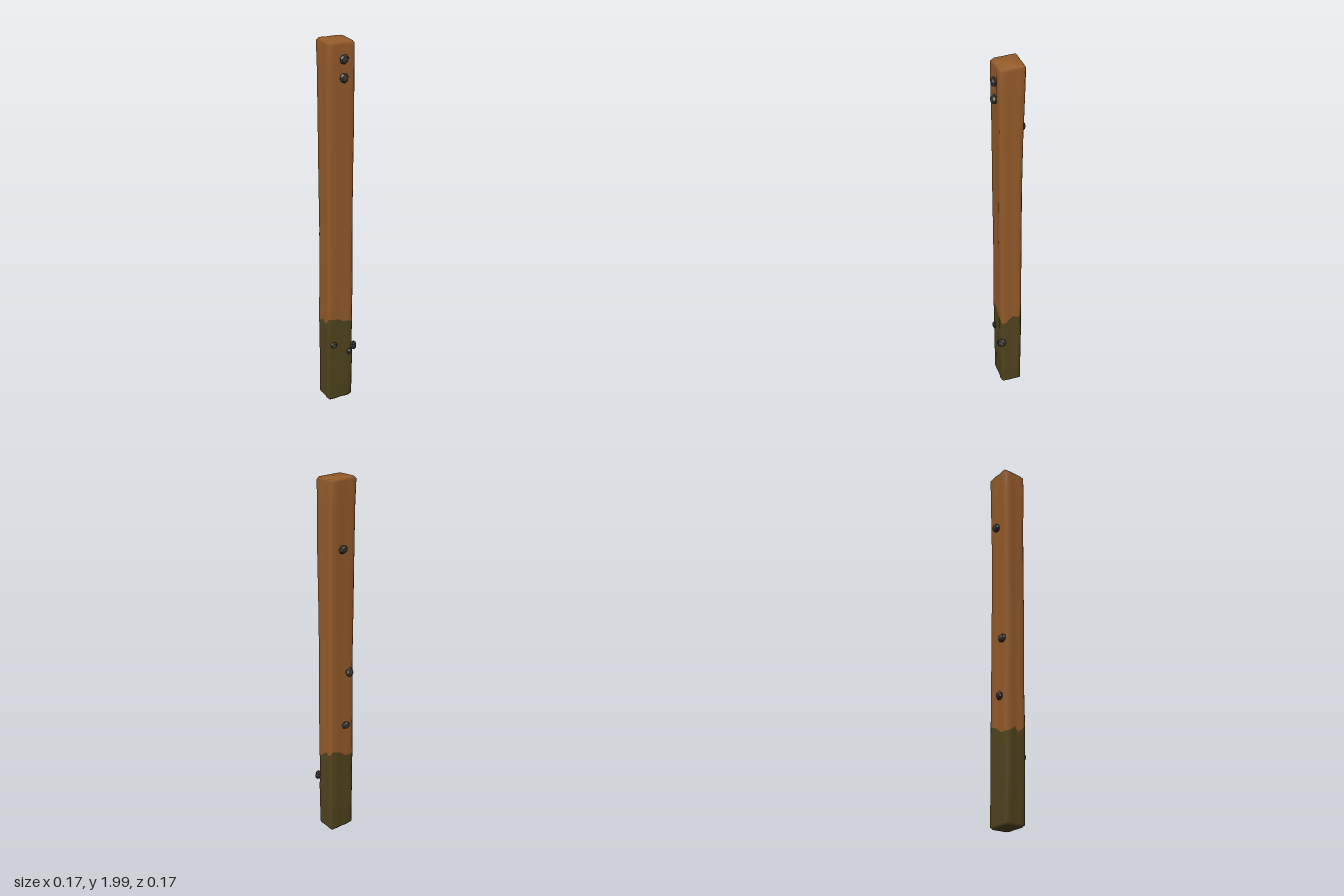
import * as THREE from 'three';

const wood = new THREE.MeshStandardMaterial({ name: 'wood', color: 0x965c2b });
const moss = new THREE.MeshStandardMaterial({ name: 'mossy wood', color: 0x52451e });
const iron = new THREE.MeshStandardMaterial({ name: 'dark iron', color: 0x3f3835 });

// One side of the squared section (along, outward); turned four times for the ring
const SIDE = [[-0.87, 0.98], [-0.5, 1], [-0.15, 0.98], [0.2, 0.96], [0.55, 1], [0.88, 0.97]];
const N = SIDE.length * 4;

// Rows up the post: y, xMin, xMax, zMin, zMax
const ROWS = [
  [0.01, -0.072, 0.052, -0.045, 0.047],
  [0.022, -0.083, 0.062, -0.055, 0.058],
  [0.25, -0.085, 0.062, -0.056, 0.062],
  [0.38, -0.085, 0.062, -0.056, 0.062],
  [0.49, -0.085, 0.062, -0.056, 0.062], // top of the mossy part
  [0.7, -0.084, 0.062, -0.056, 0.062],
  [1.0, -0.083, 0.062, -0.054, 0.062],
  [1.3, -0.083, 0.062, -0.055, 0.063],
  [1.6, -0.085, 0.064, -0.058, 0.064],
  [1.85, -0.085, 0.065, -0.063, 0.066],
  [1.978, -0.084, 0.065, -0.068, 0.066],
  [1.99, -0.076, 0.057, -0.06, 0.057],
];
const MOSS_ROW = 4;
// Ragged moss edge around the ring: front, +x side, back, -x side
const MOSS_EDGE = [
  0.52, 0.51, 0.51, 0.49, 0.49, 0.48, 0.46, 0.465, 0.485, 0.5, 0.49, 0.5,
  0.52, 0.51, 0.5, 0.475, 0.47, 0.47, 0.47, 0.48, 0.5, 0.475, 0.49, 0.515,
];

function ringPoint(row, i) {
  const [y, x0, x1, z0, z1] = ROWS[row];
  const turn = Math.floor(i / SIDE.length);
  let [u, v] = SIDE[i % SIDE.length];
  for (let t = 0; t < turn; t++) [u, v] = [v, -u];
  // gentle hewn unevenness, plus a groove low on the front
  let k = 1 + 0.015 * Math.sin(row * 2.1 + i * 1.7);
  if (i === 1 && (row === 2 || row === 3)) k = 0.93;
  const height = row === MOSS_ROW ? MOSS_EDGE[i] : y;
  const x = (x0 + x1) / 2 + (u * k * (x1 - x0)) / 2;
  const z = (z0 + z1) / 2 + (v * k * (z1 - z0)) / 2;
  return [x, height + (row > 9 ? -0.06 * z : 0), z];
}

function postGeometry() {
  const pos = [], low = [], high = [];
  for (let r = 0; r < ROWS.length; r++)
    for (let i = 0; i < N; i++) pos.push(...ringPoint(r, i));
  const bottom = ROWS.length * N, top = bottom + 1;
  pos.push(-0.01, 0.003, 0, 0, 1.996, 0);
  for (let i = 0; i < N; i++) {
    const n = (i + 1) % N;
    low.push(bottom, n, i);
    for (let r = 0; r < ROWS.length - 1; r++) {
      const a = r * N + i, b = r * N + n;
      (r < MOSS_ROW ? low : high).push(a, b, b + N, a, b + N, a + N);
    }
    const last = (ROWS.length - 1) * N;
    high.push(last + i, last + n, top);
  }
  const g = new THREE.BufferGeometry();
  g.setAttribute('position', new THREE.Float32BufferAttribute(pos, 3));
  g.setIndex([...low, ...high]);
  g.addGroup(0, low.length, 0);
  g.addGroup(low.length, high.length, 1);
  g.computeVertexNormals();
  return g;
}

// Faceted hammered head whose axis points along +z
function nailGeometry() {
  const profile = [[0, -0.014], [0.019, -0.012], [0.025, 0], [0.017, 0.011], [0, 0.014]];
  const g = new THREE.LatheGeometry(profile.map(p => new THREE.Vector2(...p)), 7)
    .rotateX(Math.PI / 2).toNonIndexed();
  g.computeVertexNormals();
  return g;
}

// x, y, z, heading, tilt, size
const NAILS = [
  [0, 1.905, 0.072, 0, 0.1, 1],
  [0, 1.815, 0.072, 0.1, -0.1, 1],
  [-0.055, 0.36, 0.066, -0.2, 0, 0.75],
  [0.04, 0.3, 0.066, 0.2, 0.2, 0.75],
  [0.068, 0.328, 0.06, 0.9, -0.2, 1],
  [-0.003, 1.645, -0.068, Math.PI + 0.1, 0.3, 1],
  [-0.052, 0.97, -0.062, Math.PI + 0.2, -0.2, 1],
  [-0.03, 0.662, -0.062, Math.PI - 0.1, 0.2, 0.95],
];

export function createModel() {
  const model = new THREE.Group();
  model.name = 'woodenPost';

  const post = new THREE.Mesh(postGeometry(), [moss, wood]);
  post.name = 'post';
  model.add(post);

  const head = nailGeometry();
  NAILS.forEach(([x, y, z, heading, tilt, size], i) => {
    const nail = new THREE.Mesh(head, iron);
    nail.name = `nail${i + 1}`;
    nail.position.set(x, y, z);
    nail.rotation.set(tilt, heading, i * 0.8, 'YXZ');
    nail.scale.setScalar(size);
    model.add(nail);
  });
  return model;
}
